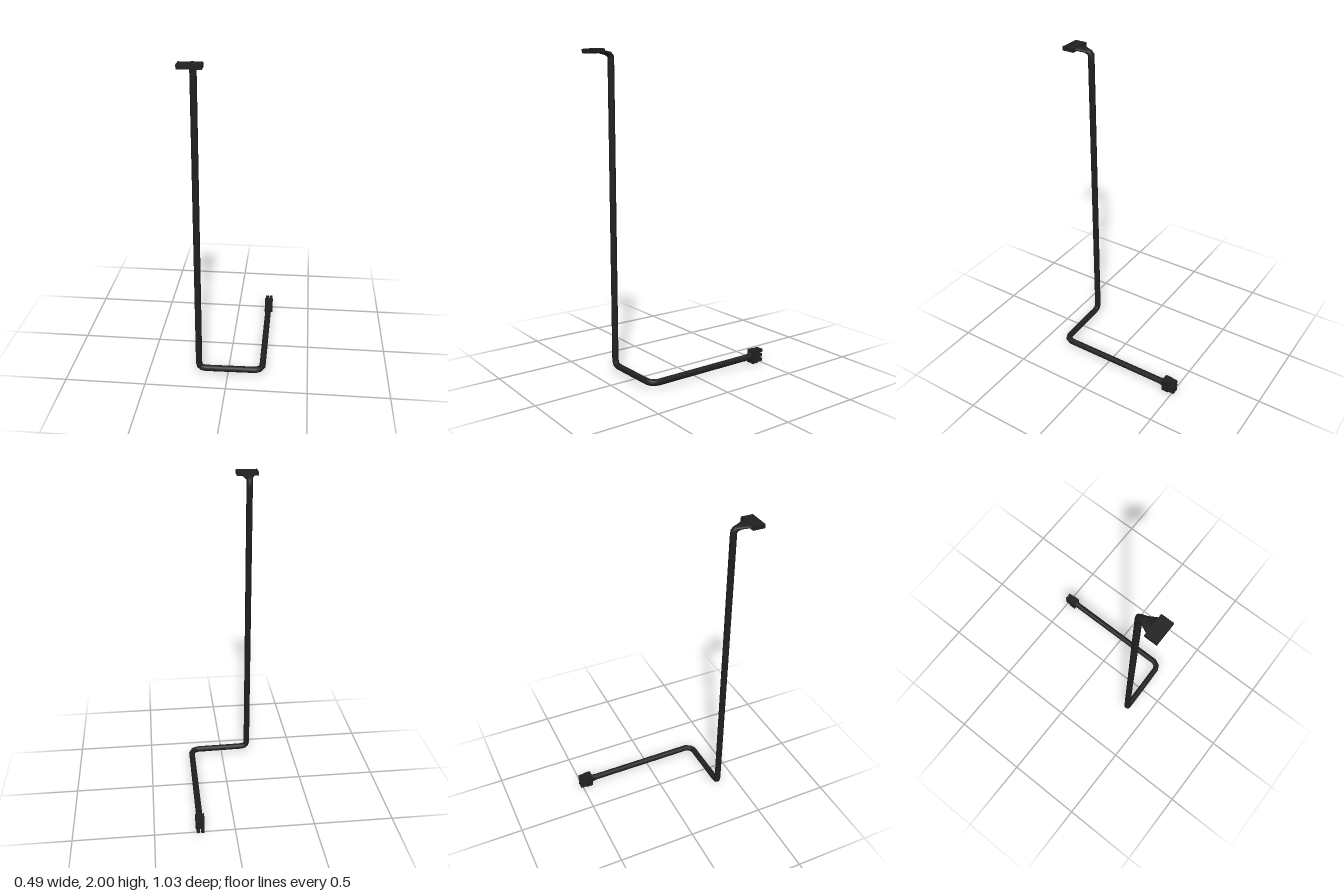
import * as THREE from 'three';

const black = new THREE.MeshStandardMaterial({ color: 0x202022, side: THREE.DoubleSide });
const SIDES = 16;

function addBox(group, name, [x0, x1], [y0, y1], [z0, z1]) {
  const mesh = new THREE.Mesh(new THREE.BoxGeometry(x1 - x0, y1 - y0, z1 - z0), black);
  mesh.position.set((x0 + x1) / 2, (y0 + y1) / 2, (z0 + z1) / 2);
  mesh.name = name;
  group.add(mesh);
}

// Sweeps an ellipse along stations [x, y, z, radiusU, radiusV]; u starts along x.
function sweep(stations) {
  const pts = stations.map(s => new THREE.Vector3(s[0], s[1], s[2]));
  const u = new THREE.Vector3(1, 0, 0), v = new THREE.Vector3(0, 1, 0);
  let last = new THREE.Vector3(0, 0, -1);
  const pos = [], index = [];
  stations.forEach((s, i) => {
    const before = pts[i].clone().sub(pts[Math.max(i - 1, 0)]).normalize();
    const after = pts[Math.min(i + 1, pts.length - 1)].clone().sub(pts[i]).normalize();
    const t = before.add(after).normalize();
    if (i === 0) t.set(0, 0, -1);
    const q = new THREE.Quaternion().setFromUnitVectors(last, t);
    u.applyQuaternion(q);
    v.applyQuaternion(q);
    last = t;
    for (let j = 0; j < SIDES; j++) {
      const a = j / SIDES * Math.PI * 2;
      const p = pts[i].clone().addScaledVector(u, Math.cos(a) * s[3]).addScaledVector(v, Math.sin(a) * s[4]);
      pos.push(p.x, p.y, p.z);
      if (i === 0) continue;
      const k = (j + 1) % SIDES, r0 = (i - 1) * SIDES, r1 = i * SIDES;
      index.push(r0 + j, r1 + j, r0 + k, r0 + k, r1 + j, r1 + k);
    }
  });
  const g = new THREE.BufferGeometry();
  g.setAttribute('position', new THREE.Float32BufferAttribute(pos, 3));
  g.setIndex(index);
  g.computeVertexNormals();
  return g;
}

export function createModel() {
  const model = new THREE.Group();
  model.name = 'powerCable';
  const R = 0.02;

  // Sleeve: flared neck, drop, two rounded bends, run to the rear plug
  const cable = new THREE.Mesh(sweep([
    [-0.18, 1.988, 0.445, 0.055, 0.010],
    [-0.18, 1.978, 0.39, 0.027, 0.013],
    [-0.18, 1.971, 0.368, R, 0.018],
    [-0.18, 1.958, 0.358, R, R],
    [-0.18, 1.93, 0.357, R, R],
    [-0.18, 0.085, 0.355, R, R],
    [-0.175, 0.062, 0.355, R, R],
    [-0.163, 0.05, 0.355, R, R],
    [-0.14, 0.045, 0.355, R, R],
    [0.172, 0.045, 0.348, R, R],
    [0.2, 0.045, 0.335, R, R],
    [0.216, 0.045, 0.302, R, R],
    [0.216, 0.045, -0.4, R, R],
    [0.216, 0.045, -0.44, 0.034, R],
  ]), black);
  cable.name = 'cableSleeve';
  model.add(cable);

  // Wide flat connector at the top
  addBox(model, 'flatConnector', [-0.247, -0.111], [1.975, 2], [0.438, 0.514]);

  // Rear plug body with two columns of three pin housings
  addBox(model, 'plugBody', [0.189, 0.244], [0.003, 0.089], [-0.475, -0.43]);
  for (const x of [0.203, 0.23])
    for (const y of [0.015, 0.046, 0.077])
      addBox(model, 'pinHousing', [x - 0.01, x + 0.01], [y - 0.01, y + 0.01], [-0.515, -0.47]);

  // Rest the plug on the ground
  model.children.forEach(m => { if (m.name === 'plugBody') m.position.y -= 0.001; });
  return model;
}
